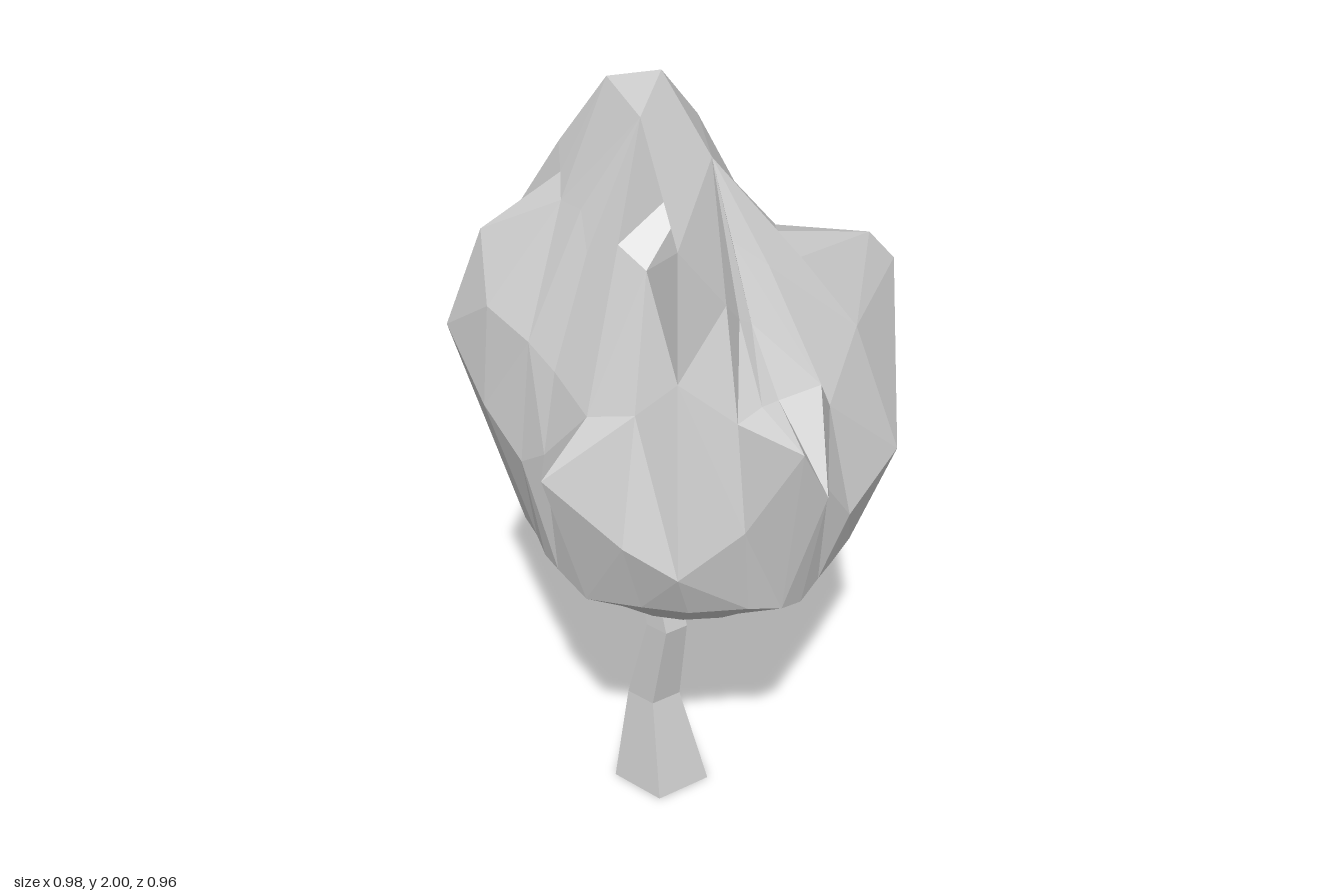
import * as THREE from 'three';

// Closed loft: columns[i][j] runs upward in j, columns turn from +x towards +z.
function loft(columns, bottom, top) {
  const pos = [];
  const tri = (...pts) => {
    if (new THREE.Triangle(...pts).getArea() < 1e-7) return; // columns may share a point
    pts.forEach((p) => pos.push(p.x, p.y, p.z));
  };
  const n = columns.length;
  for (let i = 0; i < n; i++) {
    const a = columns[i], b = columns[(i + 1) % n], last = a.length - 1;
    tri(bottom, a[0], b[0]);
    for (let j = 0; j < last; j++) {
      // split each quad along its shorter diagonal
      if (a[j + 1].distanceTo(b[j]) < a[j].distanceTo(b[j + 1])) {
        tri(a[j], a[j + 1], b[j]);
        tri(b[j], a[j + 1], b[j + 1]);
      } else {
        tri(a[j], a[j + 1], b[j + 1]);
        tri(a[j], b[j + 1], b[j]);
      }
    }
    tri(a[last], top, b[last]);
  }
  const geo = new THREE.BufferGeometry();
  geo.setAttribute('position', new THREE.Float32BufferAttribute(pos, 3));
  geo.computeVertexNormals();
  return geo;
}

const polar = (deg, r, y, cx = 0, cz = 0) => {
  const t = THREE.MathUtils.degToRad(deg);
  return new THREE.Vector3(cx + r * Math.cos(t), y, cz + r * Math.sin(t));
};

// Crown ribs: angle, then radius and height of the bulge, the ledge above it and the shoulder
const RIBS = [
  [3, 0.42, 1.1, 0.34, 1.54, 0.19, 1.7],
  [27, 0.55, 1.47, 0.48, 1.55, 0.24, 1.6],
  [53, 0.51, 1.1, 0.4, 1.42, 0.27, 1.59],
  [71, 0.42, 1.0, 0.36, 1.28, 0.21, 1.6],
  [84, 0.4, 1.12, 0.37, 1.38, 0.14, 1.66],
  [100, 0.49, 1.2, 0.33, 1.37, 0.24, 1.52],
  [108, 0.485, 1.33, 0.33, 1.37, 0.24, 1.54],
  [119, 0.39, 1.1, 0.34, 1.35, 0.27, 1.6],
  [141, 0.4, 1.0, 0.32, 1.45, 0.306, 1.75],
  [158, 0.41, 1.08, 0.31, 1.36, 0.22, 1.66],
  [177, 0.49, 1.26, 0.33, 1.34, 0.21, 1.7],
  [197, 0.355, 1.2, 0.32, 1.4, 0.23, 1.66],
  [208, 0.38, 1.15, 0.35, 1.45, 0.22, 1.74],
  [222, 0.44, 1.25, 0.42, 1.5, 0.25, 1.74],
  [235, 0.52, 1.4, 0.43, 1.64, 0.25, 1.78],
  [250, 0.51, 1.45, 0.4, 1.61, 0.27, 1.82],
  [284, 0.43, 1.25, 0.38, 1.55, 0.28, 1.83],
  [296, 0.39, 1.1, 0.35, 1.5, 0.28, 1.77],
  [310, 0.545, 1.42, 0.41, 1.55, 0.365, 1.85],
  [323, 0.475, 1.1, 0.38, 1.52, 0.3, 1.72],
  [351, 0.465, 1.2, 0.35, 1.47, 0.18, 1.7],
];

// Few large facets close the crown: every rib runs to the nearest crest point
const CREST = [
  [0.12, 1.87, -0.04], [0.03, 1.83, 0.07], [-0.12, 1.95, 0],
  [-0.05, 1.98, -0.15], [0.1, 1.9, -0.19],
].map((p) => new THREE.Vector3(...p));

const nearestCrest = (p) =>
  CREST.reduce((best, c) => (c.distanceTo(p) < best.distanceTo(p) ? c : best));

// Trunk rings: centre x, y, z and radius
const TRUNK = [
  [0.066, 0, -0.105, 0.129],
  [0.06, 0.27, -0.125, 0.07],
  [0.047, 0.52, -0.07, 0.053],
  [0.055, 0.72, -0.125, 0.048],
  [0.055, 0.86, -0.16, 0.045],
];

export function createModel() {
  const tree = new THREE.Group();
  tree.name = 'tree';
  const material = new THREE.MeshStandardMaterial({ color: 0xcccccc, flatShading: true });
  const add = (name, geo) => {
    const mesh = new THREE.Mesh(geo, material);
    mesh.name = name;
    tree.add(mesh);
  };

  // Bent five-sided trunk, flared at the foot
  const sides = [0, 72, 144, 216, 288].map((deg) =>
    TRUNK.map(([x, y, z, r]) => polar(deg, r, y, x, z)));
  const [foot, tip] = [TRUNK[0], TRUNK[TRUNK.length - 1]];
  add('trunk', loft(sides,
    new THREE.Vector3(foot[0], foot[1], foot[2]),
    new THREE.Vector3(tip[0], tip[1], tip[2])));

  // Faceted crown with bulging lobes; its rounded underside rises towards -x
  const ribs = RIBS.map(([deg, r1, y1, r2, y2, r3, y3]) => {
    const tilt = Math.cos(THREE.MathUtils.degToRad(deg));
    const shoulder = polar(deg, r3, y3);
    return [
      polar(deg, 0.24, 0.74 - 0.025 * tilt, 0.02),
      polar(deg, THREE.MathUtils.clamp(0.8 * r1, 0.36, 0.39), 0.85 - 0.03 * tilt, 0.025, 0.01),
      polar(deg, r1, y1),
      polar(deg, r2, y2),
      shoulder,
      nearestCrest(shoulder),
    ];
  });
  add('crown', loft(ribs,
    new THREE.Vector3(-0.04, 0.68, -0.02),
    new THREE.Vector3(0.01, 2, -0.05)));

  return tree;
}
